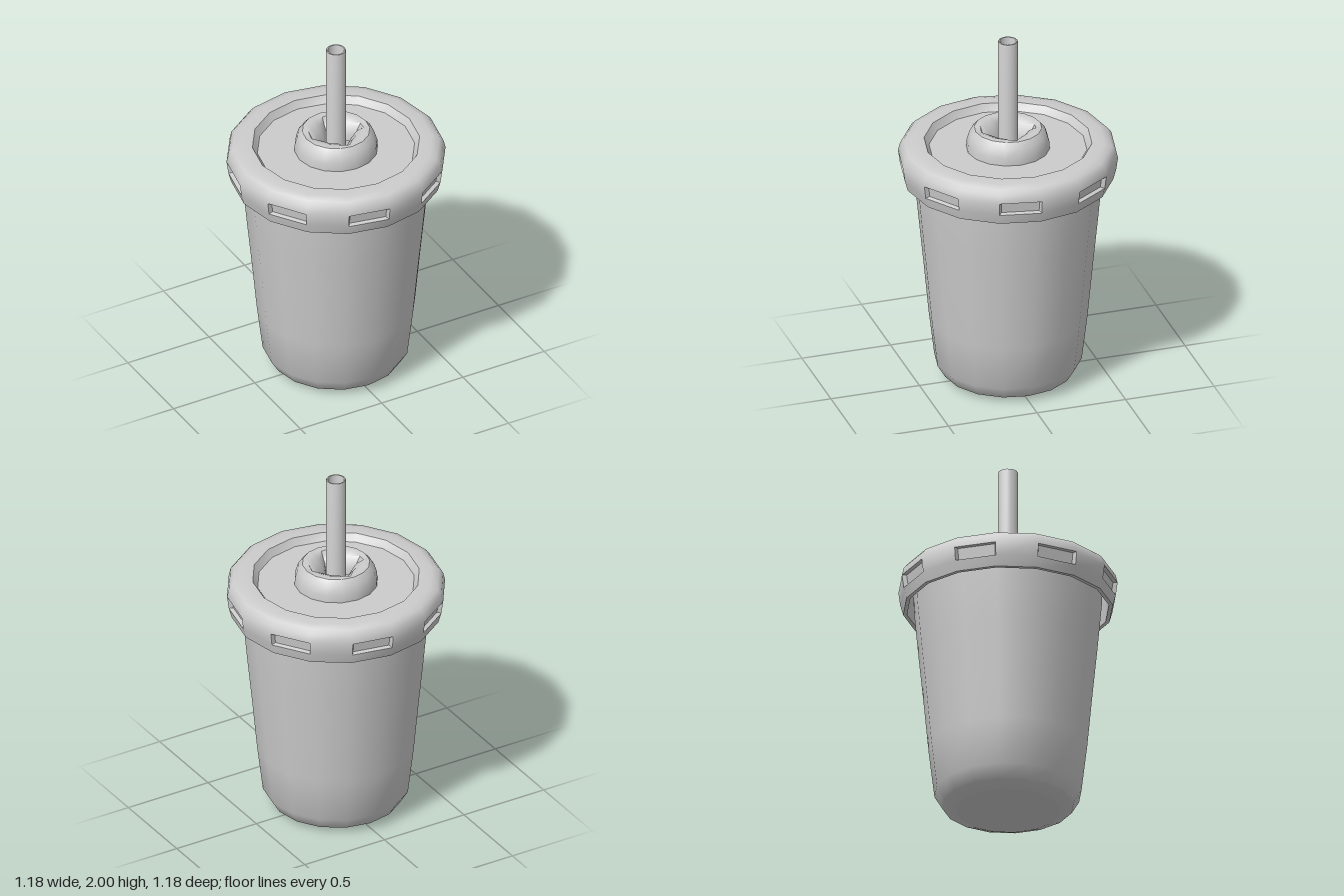
import * as THREE from 'three';
import { toCreasedNormals } from 'three/addons/utils/BufferGeometryUtils.js';

const SIDES = 16;

// Collects quads (corners counter-clockwise) and smooths all but sharp edges
function quadGeometry(quads, crease = 0.66) {
  const pos = [];
  for (const [a, b, c, d] of quads) {
    for (const [p, q, r] of [[a, b, c], [a, c, d]]) {
      const area = q.clone().sub(p).cross(r.clone().sub(p)).length();
      if (area > 1e-9) for (const v of [p, q, r]) pos.push(v.x, v.y, v.z);
    }
  }
  const g = new THREE.BufferGeometry();
  g.setAttribute('position', new THREE.Float32BufferAttribute(pos, 3));
  return toCreasedNormals(g, crease);
}

// Turns a profile round the y axis; profile(i) gives [r, y] points for side i.
// cell() may replace a quad with several others.
function revolve(profile, cell = (q) => [q], crease) {
  const ring = (i) => profile(i % SIDES).map(([r, y]) => {
    const t = (i % SIDES) * Math.PI * 2 / SIDES;
    return new THREE.Vector3(r * Math.sin(t), y, r * Math.cos(t));
  });
  const quads = [];
  for (let i = 0; i < SIDES; i++) {
    const p = ring(i), q = ring(i + 1);
    for (let j = 0; j + 1 < p.length; j++) {
      quads.push(...cell([p[j], q[j], q[j + 1], p[j + 1]], i, j));
    }
  }
  return quadGeometry(quads, crease);
}

// Sinks a quad inwards to make a shallow pocket
function pocket(quad) {
  const [a, b, c, d] = quad;
  const n = b.clone().sub(a).cross(d.clone().sub(a)).normalize();
  const mid = a.clone().add(b).add(c).add(d).multiplyScalar(0.25);
  const f = quad.map((v) => v.clone().lerp(mid, 0.1).addScaledVector(n, -0.022));
  const walls = quad.map((v, k) => [v, quad[(k + 1) % 4], f[(k + 1) % 4], f[k]]);
  return [f, ...walls];
}

export function createModel() {
  const model = new THREE.Group();
  const grey = new THREE.MeshStandardMaterial({ color: 0xcccccc, side: THREE.DoubleSide });
  grey.name = 'plain grey';
  const add = (name, geometry) => {
    const mesh = new THREE.Mesh(geometry, grey);
    mesh.name = name;
    model.add(mesh);
  };

  // Tapered cup with a rounded foot
  add('cupWall', revolve(() => [
    [0.28, 0], [0.355, 0.03], [0.397, 0.1], [0.428, 0.36], [0.455, 0.65],
    [0.482, 0.92], [0.506, 1.18], [0.515, 1.35],
  ]));
  add('cupBase', revolve(() => [[0, 0], [0.28, 0]]));

  // Lid with a rounded rim, a sunken top and a pocket in every other side
  const lidProfile = [
    [0.54, 1.35], [0.545, 1.187], [0.566, 1.187], [0.582, 1.245], [0.592, 1.318],
    [0.582, 1.362], [0.56, 1.388], [0.52, 1.4], [0.452, 1.4], [0.425, 1.36], [0.2, 1.36],
  ];
  add('lid', revolve(() => lidProfile,
    (q, i, j) => (j === 3 && i % 2 === 1 ? pocket(q) : [q])));
  add('lidUnderside', revolve(() => [[0.4, 1.35], [0.54, 1.35]]));

  // Straw collar: a domed ring whose inside folds down to a four-pointed slit
  const slit = [0.105, 0.068, 0.062, 0.068];
  add('strawCollar', revolve((i) => {
    const r = slit[i % 4];
    const tip = i % 4 === 0;
    return [
      [0.225, 1.36], [0.223, 1.4], [0.208, 1.45], [0.182, 1.48],
      [0.15, tip ? 1.472 : 1.482], [tip ? 0.13 : 0.112, tip ? 1.435 : 1.465],
      [r + 0.008, 1.41], [r, 1.37],
    ];
  }, undefined, 0.8));

  // Hollow straw
  add('straw', revolve(() => [
    [0.055, 0.1], [0.055, 1.99], [0.052, 2], [0.045, 2], [0.043, 1.99], [0.043, 0.1],
  ]));

  return model;
}
